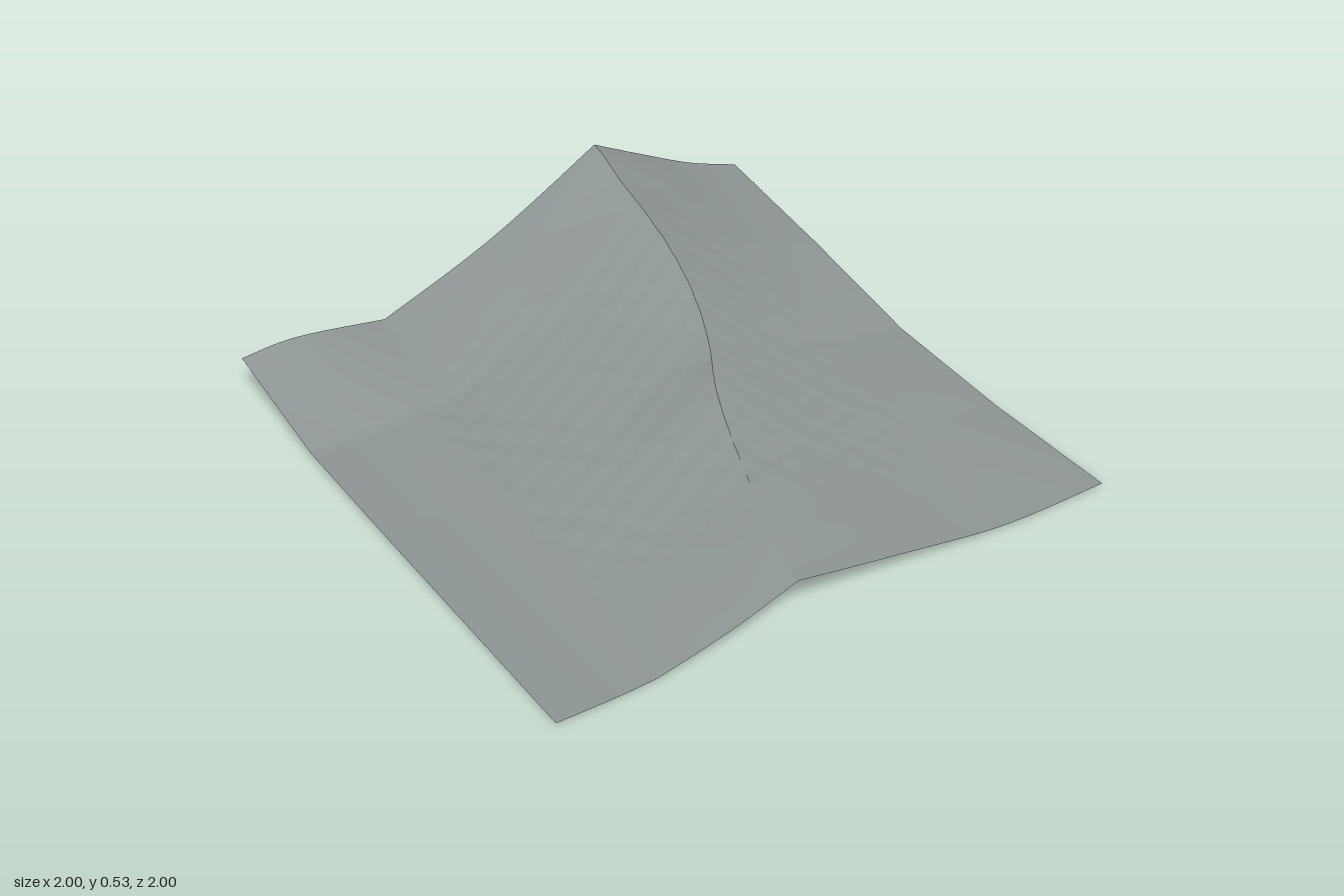
import * as THREE from 'three';

// Cross-sections from back to front: floor heights at x = -1 and -0.8, foot of the slope,
// height halfway up the west slope, then heights at 1/3, 2/3 and the end of the east slope.
const sections = [
  { z: -1.0, floor: [0.125, 0.14], foot: [-0.47, 0.10], mid: 0.285, east: [0.435, 0.345, 0.28] },
  { z: -0.5, floor: [0.03, 0.03], foot: [-0.5, 0.045], mid: 0.21, east: [0.325, 0.245, 0.185] },
  { z: 0.0, floor: [0.018, 0.018], foot: [-0.55, 0.04], mid: 0.155, east: [0.2, 0.125, 0.074] },
  { z: 0.5, floor: [0.012, 0.012], foot: [-0.6, 0.027], mid: 0.1, east: [0.125, 0.07, 0.03] },
  { z: 1.0, floor: [0.006, 0.003], foot: [-0.67, 0.008], mid: 0.063, east: [0.075, 0.016, 0.014] },
];

// Crest of the ridge, [x, y] every 0.2 from back to front
const crest = [
  [0.39, 0.53], [0.37, 0.48], [0.35, 0.44], [0.32, 0.395], [0.27, 0.345], [0.19, 0.297],
  [0.08, 0.265], [0, 0.222], [-0.07, 0.19], [-0.14, 0.165], [-0.19, 0.142],
];
const crestCurve = new THREE.SplineCurve(crest.map(([x, y]) => new THREE.Vector2(x, y)));

const ROWS = 100;
const lerp = THREE.MathUtils.lerp;
const spline = (pts, n) =>
  new THREE.SplineCurve(pts.map(([x, y]) => new THREE.Vector2(x, y))).getPoints(n);

// Small weathered bumps on the middle of the terrain
function bumps(x, z) {
  const fade = (v) => 1 - THREE.MathUtils.smoothstep(Math.abs(v), 0.5, 0.68);
  const wave = Math.sin(31 * x + 17 * z) * Math.sin(43 * z - 11 * x) +
    0.6 * Math.sin(59 * x - 37 * z + 1.3);
  return 0.0016 * wave * fade(x) * fade(z);
}

// Blend of the two neighbouring cross-sections at z
function sectionAt(z) {
  const s = (z + 1) * 2;
  const i = Math.min(3, Math.floor(s));
  const a = sections[i], b = sections[i + 1], t = s - i;
  const mix = (p, q) => p.map((v, k) => lerp(v, q[k], t));
  const c = crestCurve.getPoint((z + 1) / 2);
  return {
    ridge: [c.x, c.y],
    floor: mix(a.floor, b.floor),
    foot: mix(a.foot, b.foot),
    mid: lerp(a.mid, b.mid, t),
    east: mix(a.east, b.east),
  };
}

// Valley floor and west slope up to the crest
function westRow(z) {
  const { floor, foot, mid, ridge } = sectionAt(z);
  const ground = spline([[-1, floor[0]], [-0.8, floor[1]], foot], 24);
  const slope = spline([foot, [(foot[0] + ridge[0]) / 2, mid], ridge], 40);
  return [...ground, ...slope.slice(1)];
}

// East slope down from the crest
function eastRow(z) {
  const { east, ridge } = sectionAt(z);
  const pts = east.map((y, k) => [lerp(ridge[0], 1, (k + 1) / 3), y]);
  return spline([ridge, ...pts], 54);
}

// Skin a sheet through rows of points
function sheet(rowAt) {
  const pos = [], index = [];
  let n = 0;
  for (let j = 0; j <= ROWS; j++) {
    const z = -1 + (2 * j) / ROWS;
    const row = rowAt(z);
    n = row.length;
    row.forEach((p) => pos.push(p.x, Math.max(0, p.y + bumps(p.x, z)), z));
  }
  for (let j = 0; j < ROWS; j++) {
    for (let i = 0; i < n - 1; i++) {
      const a = j * n + i, b = a + n;
      index.push(a, b, a + 1, a + 1, b, b + 1);
    }
  }
  const g = new THREE.BufferGeometry();
  g.setAttribute('position', new THREE.Float32BufferAttribute(pos, 3));
  g.setIndex(index);
  g.computeVertexNormals();
  return g;
}

export function createModel() {
  const group = new THREE.Group();
  group.name = 'ridgeTerrain';
  const rock = new THREE.MeshStandardMaterial({ color: 0x8f9696, side: THREE.DoubleSide });
  rock.name = 'grey rock';

  // Two sheets meeting in a sharp crest
  for (const [name, rowAt] of [['westSlope', westRow], ['eastSlope', eastRow]]) {
    const mesh = new THREE.Mesh(sheet(rowAt), rock);
    mesh.name = name;
    group.add(mesh);
  }
  return group;
}
